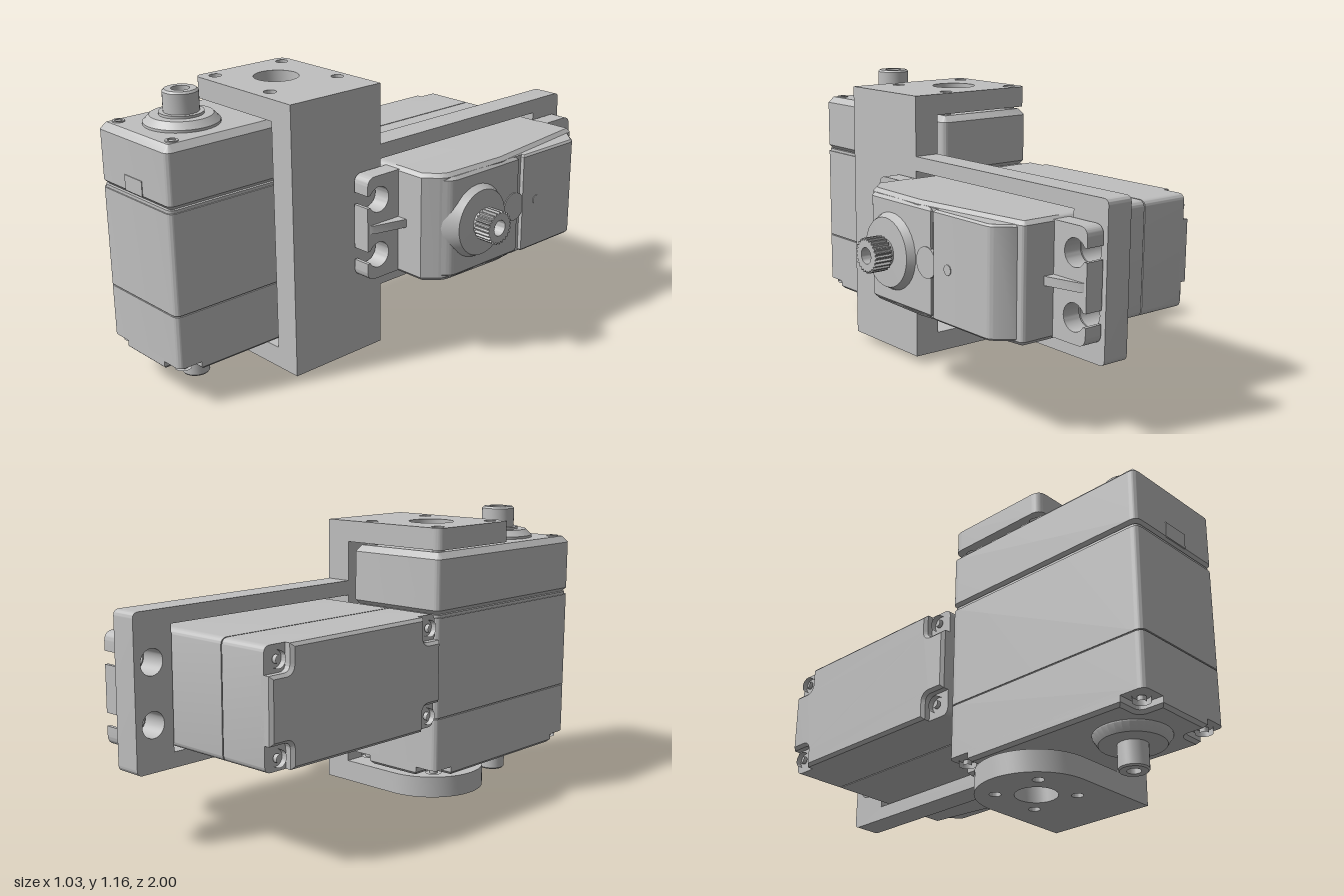
import * as THREE from 'three';
import { toCreasedNormals } from 'three/addons/utils/BufferGeometryUtils.js';

const grey = new THREE.MeshStandardMaterial({ color: 0xc0c0c0 });
grey.name = 'grey plastic';

function part(name, geometry, parent) {
  const mesh = new THREE.Mesh(toCreasedNormals(geometry, 0.6), grey);
  mesh.name = name;
  parent.add(mesh);
  return mesh;
}

function extrude(shape, depth, bevel = 0) {
  return new THREE.ExtrudeGeometry(shape, {
    depth: depth - 2 * bevel, bevelEnabled: bevel > 0, bevelSize: bevel,
    bevelThickness: bevel, bevelOffset: -bevel, bevelSegments: 1, curveSegments: 16,
  }).translate(0, 0, bevel);
}
// Horizontal slab: shape is (x, -z), standing from y0 to y1
const slab = (shape, y0, y1, bevel) => extrude(shape, y1 - y0, bevel).rotateX(-Math.PI / 2).translate(0, y0, 0);
// Upright slab: shape is (-z, y), reaching from x0 to x1
const upright = (shape, x0, x1, bevel) => extrude(shape, x1 - x0, bevel).rotateY(Math.PI / 2).translate(x0, 0, 0);

// Polygon with an optional rounding radius as the third value of a corner
function polygon(points) {
  const s = new THREE.Shape();
  points.forEach(([x, y, r = 0], i) => {
    const toward = ([px, py]) => {
      const d = Math.hypot(px - x, py - y);
      return [x + (px - x) * r / d, y + (py - y) * r / d];
    };
    const a = toward(points[(i + points.length - 1) % points.length]);
    const b = toward(points[(i + 1) % points.length]);
    if (i) s.lineTo(...a); else s.moveTo(...a);
    if (r) s.quadraticCurveTo(x, y, ...b);
  });
  s.closePath();
  return s;
}
const rect = (x0, y0, x1, y1, r = 0) => polygon([[x0, y0, r], [x1, y0, r], [x1, y1, r], [x0, y1, r]]);

function drill(shape, x, y, r) {
  shape.holes.push(new THREE.Path().absarc(x, y, r, 0, Math.PI * 2, true));
}
const turned = (points, sides = 32) =>
  new THREE.LatheGeometry(points.map(p => new THREE.Vector2(...p)), sides);

const W = 0.2225, L = 0.45, AXIS = 0.225;

// Lower case, shared by both servos: corner pockets with screws, then two layers with a seam
function lowerCase(servo, top) {
  const w = W, l = L, n = 0.1;
  const cross = polygon([
    [w - n, -l], [w - n, -l + n, 0.03], [w, -l + n], [w, l - n], [w - n, l - n, 0.03], [w - n, l],
    [-w + n, l], [-w + n, l - n, 0.03], [-w, l - n], [-w, -l + n], [-w + n, -l + n, 0.03], [-w + n, -l],
  ]);
  part('caseFoot', slab(cross, 0, 0.06, 0.012), servo);
  part('lowerCase', slab(rect(-w, -l, w, l, 0.03), 0.035, 0.245), servo);
  part('caseSeam', slab(rect(-w + 0.005, -l + 0.005, w - 0.005, l - 0.005, 0.03), 0.24, 0.255), servo);
  part('middleCase', slab(rect(-w, -l, w, l, 0.03), 0.25, top), servo);
  for (const x of [-1, 1]) for (const z of [-1, 1]) {
    const screw = part('cornerScrew', turned([[0.016, 0.03], [0.016, 0.012], [0.032, 0.012], [0.032, 0.04]].reverse(), 20), servo);
    screw.position.set(x * (w - 0.05), 0, z * (l - 0.05));
    screw.material = grey;
  }
}

// Servo with a plain shaft on both ends
function twinShaftServo() {
  const servo = new THREE.Group();
  servo.name = 'upperServo';
  lowerCase(servo, 0.648);
  part('caseSeam', slab(rect(-W + 0.005, -L + 0.005, W - 0.005, L - 0.005, 0.03), 0.64, 0.66), servo);
  const lid = rect(-W, -L, W, L, 0.03);
  part('upperCase', slab(lid, 0.652, 0.9, 0.025), servo);
  for (const x of [-1, 1]) for (const z of [-1, 1]) {
    part('lidScrew', turned([[0.024, 0.9], [0.024, 0.905], [0.015, 0.905], [0.015, 0.901], [0, 0.901]], 20), servo)
      .position.set(x * 0.17, 0, z * 0.39);
  }
  part('topShaft', turned([[0.145, 0.89], [0.145, 0.91], [0.12, 0.935], [0.085, 0.935], [0.085, 0.945], [0.068, 0.945],
    [0.068, 1.022], [0.06, 1.03], [0.035, 1.03], [0.035, 0.97], [0, 0.97]]), servo).position.z = AXIS;
  part('bottomShaft', turned([[0, -0.08], [0.025, -0.08], [0.025, -0.13], [0.05, -0.13], [0.055, -0.124], [0.055, -0.035],
    [0.12, -0.035], [0.14, -0.005], [0.14, 0.02]]), servo).position.z = AXIS;
  part('frontWindow', new THREE.BoxGeometry(0.11, 0.06, 0.006).translate(0, 0.705, L), servo);
  return servo;
}

// Mounting ear with two open screw slots, reaching out along +z
function ear(servo) {
  const e = 0.615, c = 0.555, r = 0.052, n = 0.025, a = Math.asin(n / r);
  const s = new THREE.Shape().moveTo(-0.2125, 0.4).lineTo(0.2125, 0.4).lineTo(0.2125, e - 0.04);
  s.quadraticCurveTo(0.2125, e, 0.1725, e);
  for (const x of [0.115, -0.115]) {
    s.lineTo(x + n, e);
    s.absarc(x, c, r, Math.PI / 2 - a, Math.PI / 2 + a, true);
    s.lineTo(x - n, e);
  }
  s.lineTo(-0.1725, e).quadraticCurveTo(-0.2125, e, -0.2125, e - 0.04);
  s.closePath();
  const g = new THREE.Group();
  g.name = 'mountingEar';
  part('earPlate', slab(s, 0.62, 0.695), g);
  part('earRib', upright(polygon([[0.43, 0.69], [0.61, 0.69], [0.59, 0.705], [0.43, 0.745]]), -0.017, 0.017), g);
  servo.add(g);
  return g;
}

// Servo with mounting ears, a sloped lid and a splined shaft
function earedServo() {
  const servo = new THREE.Group();
  servo.name = 'lowerServo';
  lowerCase(servo, 0.7);
  ear(servo);
  ear(servo).rotation.y = Math.PI;
  part('upperCase', upright(polygon([
    [-0.45, 0.65], [0.45, 0.65], [0.45, 0.835, 0.02], [0.41, 0.84], [-0.07, 0.9], [-0.38, 0.89, 0.03], [-0.45, 0.82],
  ]), -W, W, 0.015), servo);
  part('frontLid', upright(polygon([
    [-0.435, 0.8], [0.02, 0.8], [0.02, 0.908], [-0.36, 0.908, 0.03], [-0.435, 0.835],
  ]), -0.208, 0.208, 0.012), servo);
  part('lidStep', upright(rect(0, 0.8, 0.05, 0.898), -0.208, 0.208), servo);
  part('rearLid', upright(polygon([
    [0.045, 0.8], [0.43, 0.8], [0.42, 0.845], [0.36, 0.915, 0.02], [0.045, 0.915],
  ]), -0.208, 0.208, 0.008), servo);
  part('lidTab', turned([[0.06, 0.89], [0.06, 0.912], [0, 0.912]]), servo).position.z = 0.005;
  part('lidPin', turned([[0.02, 0.91], [0.02, 0.918], [0, 0.918]], 20), servo).position.z = -0.13;
  part('shaftBoss', turned([[0.19, 0.84], [0.145, 0.918], [0.135, 0.938], [0.055, 0.94], [0.055, 0.965]]), servo).position.z = AXIS;
  // Splined shaft
  const teeth = 24, points = [];
  for (let i = 0; i < teeth * 4; i++) {
    const t = i / (teeth * 4) * Math.PI * 2, r = i % 4 < 2 ? 0.068 : 0.059;
    points.push([Math.cos(t) * r, Math.sin(t) * r]);
  }
  const spline = polygon(points);
  drill(spline, 0, 0, 0.032);
  part('splineShaft', slab(spline, 0.955, 1.028), servo).position.z = AXIS;
  part('shaftCore', turned([[0.05, 0.93], [0.05, 0.98], [0, 0.98]]), servo).position.z = AXIS;
  return servo;
}

function bracket() {
  const g = new THREE.Group();
  g.name = 'bracket';
  const cx = -0.2625, cz = 0.318;
  part('spine', new THREE.BoxGeometry(0.11, 1.095, 0.45).translate(0.045, 0.5775, 0.325), g);
  // Top arm with a large bore and four screw holes
  const top = polygon([[-0.01, -0.55], [-0.01, -0.1], [-0.485, -0.1, 0.04], [-0.485, -0.55, 0.04]]);
  drill(top, cx, -cz, 0.09);
  for (const x of [-1, 1]) for (const z of [-1, 1]) drill(top, cx + x * 0.17, -cz + z * 0.168, 0.025);
  part('topArm', slab(top, 1.04, 1.125), g);
  // Bottom arm with a round end
  const bottom = new THREE.Shape().moveTo(-0.01, -0.55).lineTo(-0.01, -0.1).lineTo(cx, -0.1);
  bottom.absarc(cx, -0.325, 0.225, Math.PI / 2, Math.PI * 1.5, false);
  bottom.closePath();
  drill(bottom, cx, -0.325, 0.08);
  for (const x of [-1, 1]) for (const z of [-1, 1]) drill(bottom, cx + x * 0.105, -0.325 + z * 0.105, 0.022);
  part('bottomArm', slab(bottom, 0.03, 0.115), g);
  // Open frame around the lower servo
  const frame = polygon([
    [-0.1, 0.285], [1, 0.285, 0.025], [1, 0.88, 0.025], [-0.1, 0.88],
    [-0.1, 0.82], [0.83, 0.82], [0.83, 0.345], [-0.1, 0.345],
  ]);
  for (const y of [0.463, 0.693]) drill(frame, 0.922, y, 0.05);
  part('servoFrame', upright(frame, -0.01, 0.1), g);
  return g;
}

export function createModel() {
  const model = new THREE.Group();
  model.name = 'panTiltServos';
  const a = twinShaftServo();
  a.position.set(-0.2625, 0.13, 0.545);
  const b = earedServo();
  b.rotation.z = -Math.PI / 2;
  b.position.set(-0.515, 0.578, -0.37);
  model.add(a, b, bracket());
  return model;
}
